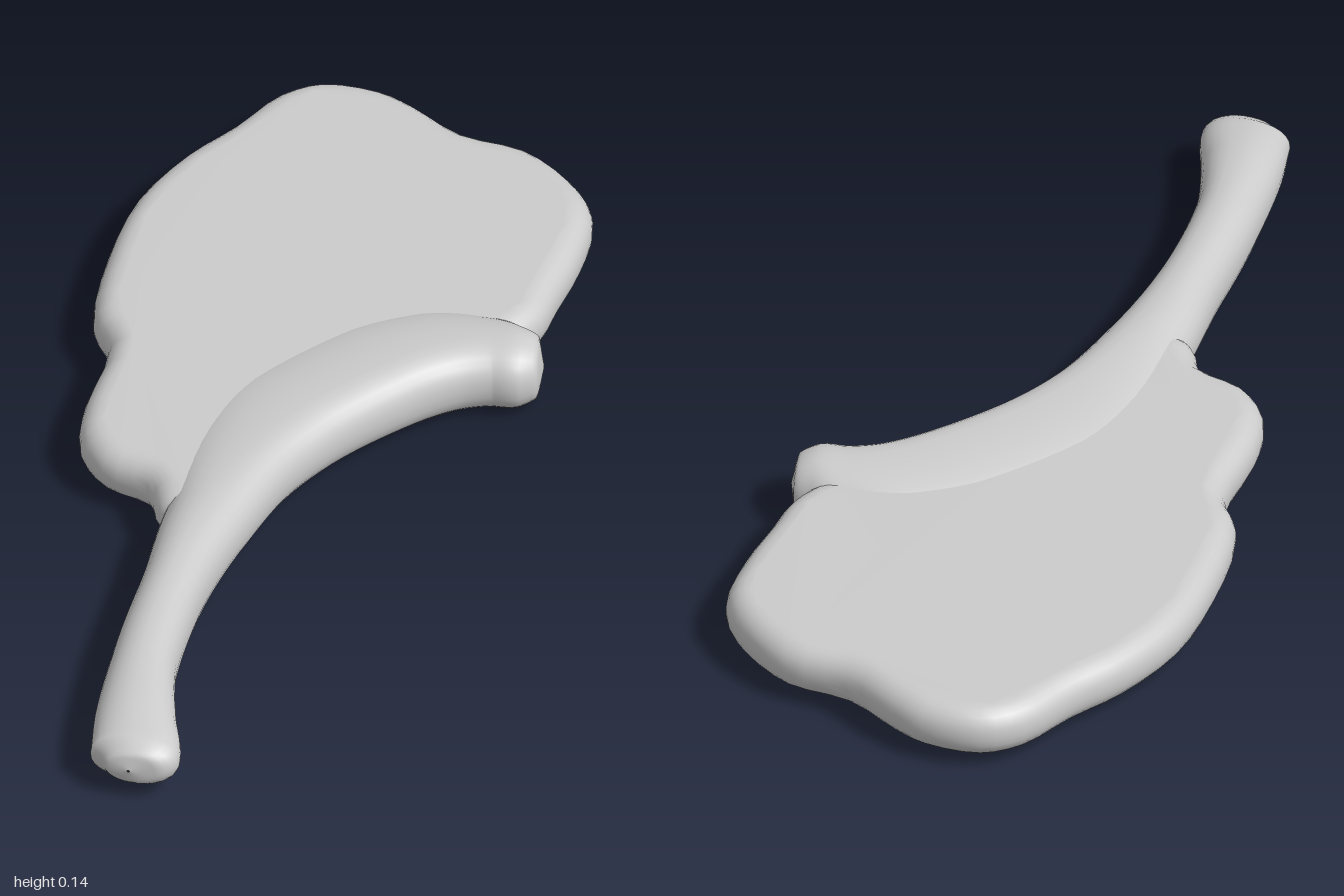
import * as THREE from 'three';
import { mergeVertices } from 'three/addons/utils/BufferGeometryUtils.js';

const MID = 0.07; // height of the middle plane

// Flat slab of meat: wavy outline with a rounded rim
function meatGeometry() {
  const outline = [
    [-0.15, -1], [-0.04, -1], [0.03, -0.97], [0.13, -0.91], [0.25, -0.89], [0.35, -0.82],
    [0.405, -0.74], [0.41, -0.62], [0.395, -0.5], [0.385, -0.42], [0.35, -0.35], [0.27, -0.28],
    [0.15, -0.18], [0.04, -0.04], [-0.02, 0.1], [-0.08, 0.29], [-0.16, 0.27], [-0.2, 0.2],
    [-0.29, 0.165], [-0.345, 0.1], [-0.36, 0], [-0.355, -0.17], [-0.4, -0.25],
    [-0.415, -0.43], [-0.4, -0.6], [-0.345, -0.74], [-0.28, -0.84], [-0.22, -0.95],
  ];
  const curve = new THREE.CatmullRomCurve3(
    outline.map(([x, z]) => new THREE.Vector3(x, -z, 0)), true);
  const pts = curve.getPoints(outline.length * 3).slice(0, -1);
  const shape = new THREE.Shape(pts.map((p) => new THREE.Vector2(p.x, p.y)));
  let geo = new THREE.ExtrudeGeometry(shape, {
    depth: 0.01, steps: 1, bevelThickness: 0.045, bevelSize: 0.045, bevelOffset: -0.045, bevelSegments: 6,
  });
  geo.deleteAttribute('normal');
  geo.deleteAttribute('uv');
  geo = mergeVertices(geo, 1e-4);
  geo.computeVertexNormals();
  geo.rotateX(-Math.PI / 2).translate(0, MID - 0.005, 0);
  return geo;
}

// Curved bone: elliptical sections along a path, wider where it melts into the meat
function boneGeometry() {
  // x, z, outer half width, meat-side half width, half height
  const stations = [
    [-0.055, 0.998, 0.002, 0.002, 0.002], [-0.055, 0.99, 0.045, 0.045, 0.03],
    [-0.053, 0.955, 0.082, 0.08, 0.05], [-0.073, 0.86, 0.074, 0.074, 0.061],
    [-0.093, 0.7, 0.059, 0.061, 0.066], [-0.094, 0.5, 0.059, 0.058, 0.067],
    [-0.075, 0.28, 0.072, 0.08, 0.067], [-0.023, 0.09, 0.07, 0.15, 0.067],
    [0.04, -0.04, 0.072, 0.19, 0.067], [0.15, -0.18, 0.07, 0.19, 0.068],
    [0.24, -0.265, 0.073, 0.16, 0.068], [0.31, -0.3, 0.077, 0.11, 0.068],
    [0.365, -0.31, 0.08, 0.075, 0.067], [0.4, -0.315, 0.058, 0.055, 0.052],
    [0.411, -0.317, 0.002, 0.002, 0.002],
  ];
  const path = new THREE.CatmullRomCurve3(stations.map(([x, z]) => new THREE.Vector3(x, MID, z)));
  const sizes = new THREE.CatmullRomCurve3(stations.map((s) => new THREE.Vector3(s[2], s[3], s[4])));
  const rows = (stations.length - 1) * 5, sides = 28;
  const pos = [], idx = [];
  const up = new THREE.Vector3(0, 1, 0);
  const soften = (v, e) => Math.sign(v) * Math.abs(v) ** e;
  for (let i = 0; i <= rows; i++) {
    const t = i / rows;
    const c = path.getPoint(t), s = sizes.getPoint(t);
    const n = path.getTangent(t).cross(up).normalize();
    for (let j = 0; j < sides; j++) {
      const a = (j / sides) * Math.PI * 2, ca = Math.cos(a);
      const w = ca > 0 ? s.x * soften(ca, 0.85) : s.y * ca;
      const h = s.z * soften(Math.sin(a), 0.9);
      pos.push(c.x + n.x * w, c.y + h, c.z + n.z * w);
      if (i < rows) {
        const p = i * sides + j, q = i * sides + (j + 1) % sides;
        idx.push(p, p + sides, q, q, p + sides, q + sides);
      }
    }
  }
  const geo = new THREE.BufferGeometry();
  geo.setAttribute('position', new THREE.Float32BufferAttribute(pos, 3));
  geo.setIndex(idx);
  geo.computeVertexNormals();
  return geo;
}

export function createModel() {
  const group = new THREE.Group();
  group.name = 'chop';
  const material = new THREE.MeshStandardMaterial({ color: 0xcccccc });
  const add = (name, geometry) => {
    const mesh = new THREE.Mesh(geometry, material);
    mesh.name = name;
    group.add(mesh);
  };
  add('meat', meatGeometry());
  add('bone', boneGeometry());
  return group;
}
